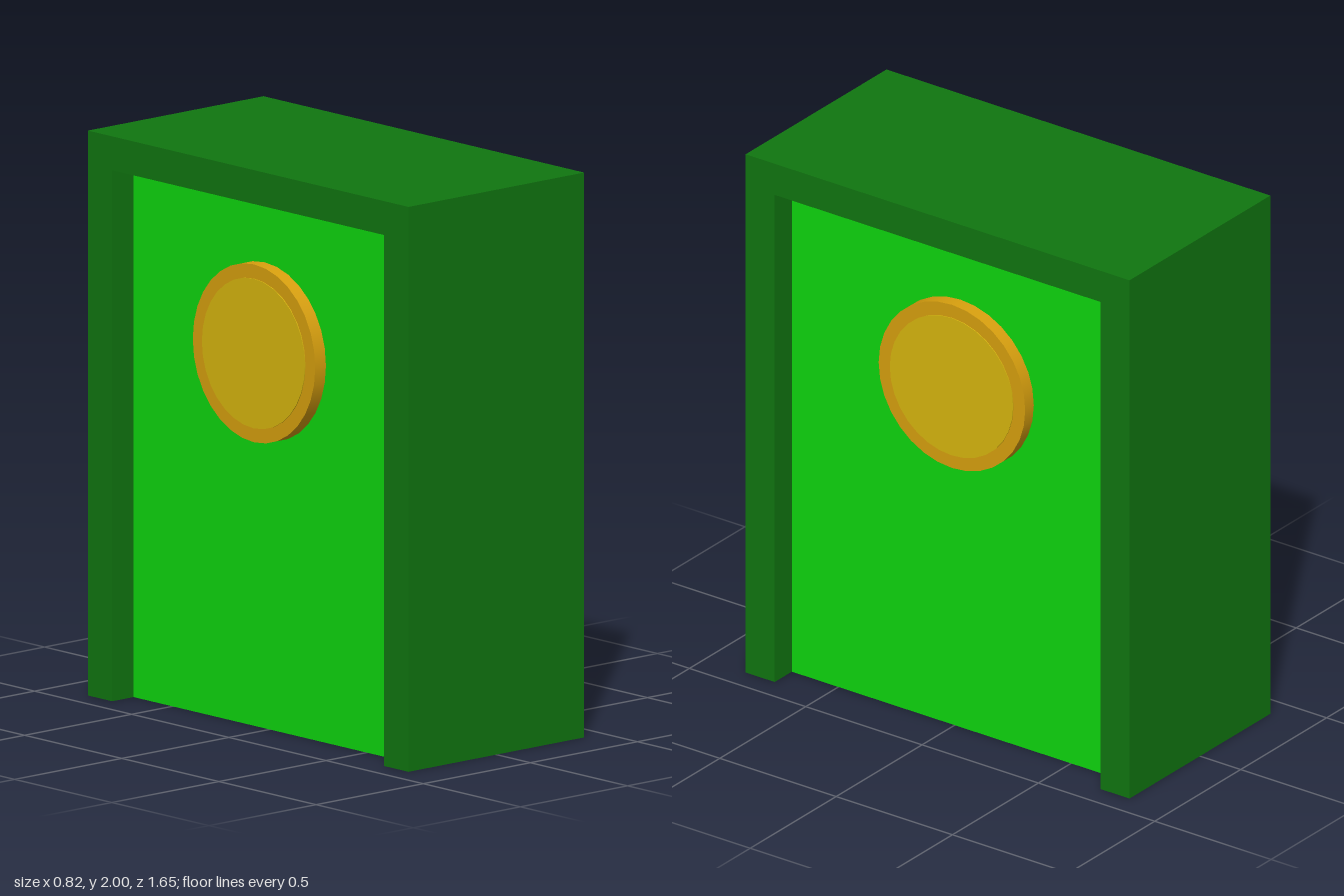
import * as THREE from 'three';

const paint = (name, color) => {
  const m = new THREE.MeshStandardMaterial({ color });
  m.name = name;
  return m;
};

export function createModel() {
  const darkGreen = paint('dark green', 0x107610);
  const brightGreen = paint('bright green', 0x0ed80e);
  const amber = paint('amber', 0xd8a00e);
  const gold = paint('gold', 0xd8b60e);

  const model = new THREE.Group();
  model.name = 'doorway';
  const add = (name, geometry, material) => {
    const mesh = new THREE.Mesh(geometry, material);
    mesh.name = name;
    model.add(mesh);
    return mesh;
  };

  // Frame: an upside-down U extruded across the width
  const W = 0.41, D = 0.825, H = 2, innerD = 0.7, innerH = 1.88;
  const outline = new THREE.Shape([
    [-D, 0], [-innerD, 0], [-innerD, innerH], [innerD, innerH],
    [innerD, 0], [D, 0], [D, H], [-D, H],
  ].map(([z, y]) => new THREE.Vector2(z, y)));
  const frame = new THREE.ExtrudeGeometry(outline, { depth: 2 * W, bevelEnabled: false });
  frame.translate(0, 0, -W).rotateY(Math.PI / 2);
  add('frame', frame, darkGreen);

  // Panel filling the frame, recessed on both sides
  const panelX = 0.31;
  const panel = new THREE.BoxGeometry(2 * panelX, innerH, 2 * innerD);
  add('panel', panel.translate(0, innerH / 2, 0), brightGreen);

  // Round disc with a paler centre on each side
  const disc = (radius, thickness) =>
    new THREE.CylinderGeometry(radius, radius, thickness, 32).rotateZ(Math.PI / 2);
  const thickness = 0.05;
  for (const [side, s] of [['left', 1], ['right', -1]]) {
    add(side + 'Disc', disc(0.315, thickness), amber)
      .position.set(s * (panelX + thickness / 2), 1.335, -0.025);
    add(side + 'DiscCentre', disc(0.265, 0.004), gold)
      .position.set(s * (panelX + thickness + 0.001), 1.335, -0.025);
  }
  return model;
}
